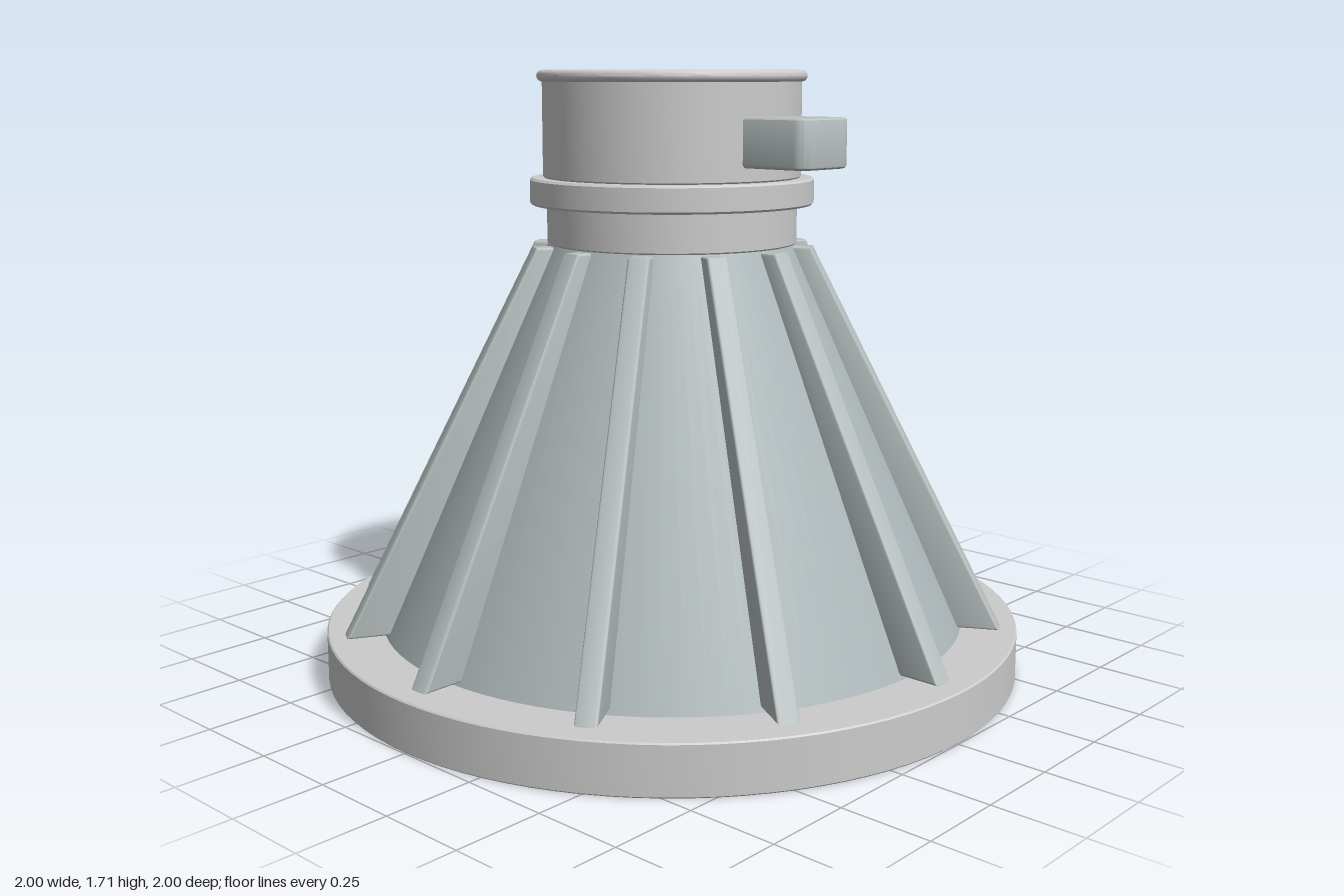
import * as THREE from 'three';
import { toCreasedNormals } from 'three/addons/utils/BufferGeometryUtils.js';

const grey = new THREE.MeshStandardMaterial({ color: 0xcccccc });
const coneGrey = new THREE.MeshStandardMaterial({ color: 0xaeb8ba });
const ribGrey = new THREE.MeshStandardMaterial({ color: 0xb8c0c0 });
const BORE = 0.257;

function addMesh(parent, name, geometry, material) {
  const mesh = new THREE.Mesh(toCreasedNormals(geometry, 0.5), material);
  mesh.name = name;
  parent.add(mesh);
  return mesh;
}

// Closed ring from an anticlockwise [radius, height] profile
function ring(profile) {
  const pts = [...profile, profile[0]].map(([r, y]) => new THREE.Vector2(r, y));
  return new THREE.LatheGeometry(pts, 96);
}

// Rectangular ring profile with chamfered outer edges
function band(inner, outer, y0, y1, c) {
  return [[inner, y0], [outer - c, y0], [outer, y0 + c], [outer, y1 - c], [outer - c, y1], [inner, y1]];
}

// Points on an arc, angles in degrees
function arc(cx, cy, r, from, to, steps = 8) {
  return Array.from({ length: steps + 1 }, (_, i) => {
    const a = THREE.MathUtils.degToRad(from + ((to - from) * i) / steps);
    return [cx + r * Math.cos(a), cy + r * Math.sin(a)];
  });
}

export function createModel() {
  const model = new THREE.Group();
  model.name = 'ribbedConeAdapter';

  // Base flange and hollow cone, its inner lower edge rounded inside the flange
  addMesh(model, 'baseFlange', ring(band(0.74, 1, 0, 0.14, 0.004)), grey);
  addMesh(model, 'coneShell', ring([
    ...arc(0.742, 0.16, 0.06, 202, 270),
    [0.855, 0.1], [0.842, 0.14], [0.35, 1.225], [BORE, 1.225], [BORE, 1.14],
  ]), coneGrey);

  // Neck, collar, sleeve and rounded lip around the bore
  addMesh(model, 'neck', ring(band(BORE, 0.353, 1.225, 1.34, 0.004)), grey);
  addMesh(model, 'collar', ring(band(BORE, 0.4, 1.335, 1.41, 0.006)), grey);
  addMesh(model, 'sleeve', ring(band(BORE, 0.363, 1.41, 1.68, 0.004)), grey);
  addMesh(model, 'topLip', ring([
    [BORE, 1.674], ...arc(0.362, 1.69, 0.016, -90, 90), [BORE, 1.706],
  ]), grey);

  // Twelve stiffening ribs with softened edges
  const ribs = new THREE.Group();
  ribs.name = 'ribs';
  model.add(ribs);
  const ribShape = new THREE.Shape([[0.8, 0.15], [0.952, 0.15], [0.4, 1.222], [0.33, 1.222]]
    .map(([x, y]) => new THREE.Vector2(x, y)));
  const ribGeometry = new THREE.ExtrudeGeometry(ribShape, {
    depth: 0.044, bevelThickness: 0.008, bevelSize: 0.008, bevelOffset: -0.008, bevelSegments: 3,
  });
  ribGeometry.translate(0, 0, -0.022);
  for (let i = 0; i < 12; i++) {
    addMesh(ribs, 'rib', ribGeometry, ribGrey).rotation.y = (i * Math.PI) / 6;
  }

  // Side lug with rounded corners and a vertical hole
  const b = 0.01, x0 = 0.25 + b, x1 = 0.555 - b, w = 0.103 - b, r = 0.035;
  const lug = new THREE.Shape();
  lug.moveTo(x0, -w);
  lug.lineTo(x1 - r, -w);
  lug.absarc(x1 - r, -w + r, r, -Math.PI / 2, 0, false);
  lug.lineTo(x1, w - r);
  lug.absarc(x1 - r, w - r, r, 0, Math.PI / 2, false);
  lug.lineTo(x0, w);
  lug.closePath();
  const hole = new THREE.Path();
  hole.absarc(0.433, 0, 0.032 + b, 0, Math.PI * 2, true);
  lug.holes.push(hole);
  const lugGeometry = new THREE.ExtrudeGeometry(lug, {
    depth: 0.133 - 2 * b, bevelThickness: b, bevelSize: b, bevelSegments: 3, curveSegments: 12,
  });
  lugGeometry.rotateX(-Math.PI / 2);
  lugGeometry.translate(0, 1.45 + b, 0);
  addMesh(model, 'sideLug', lugGeometry, ribGrey);

  return model;
}
